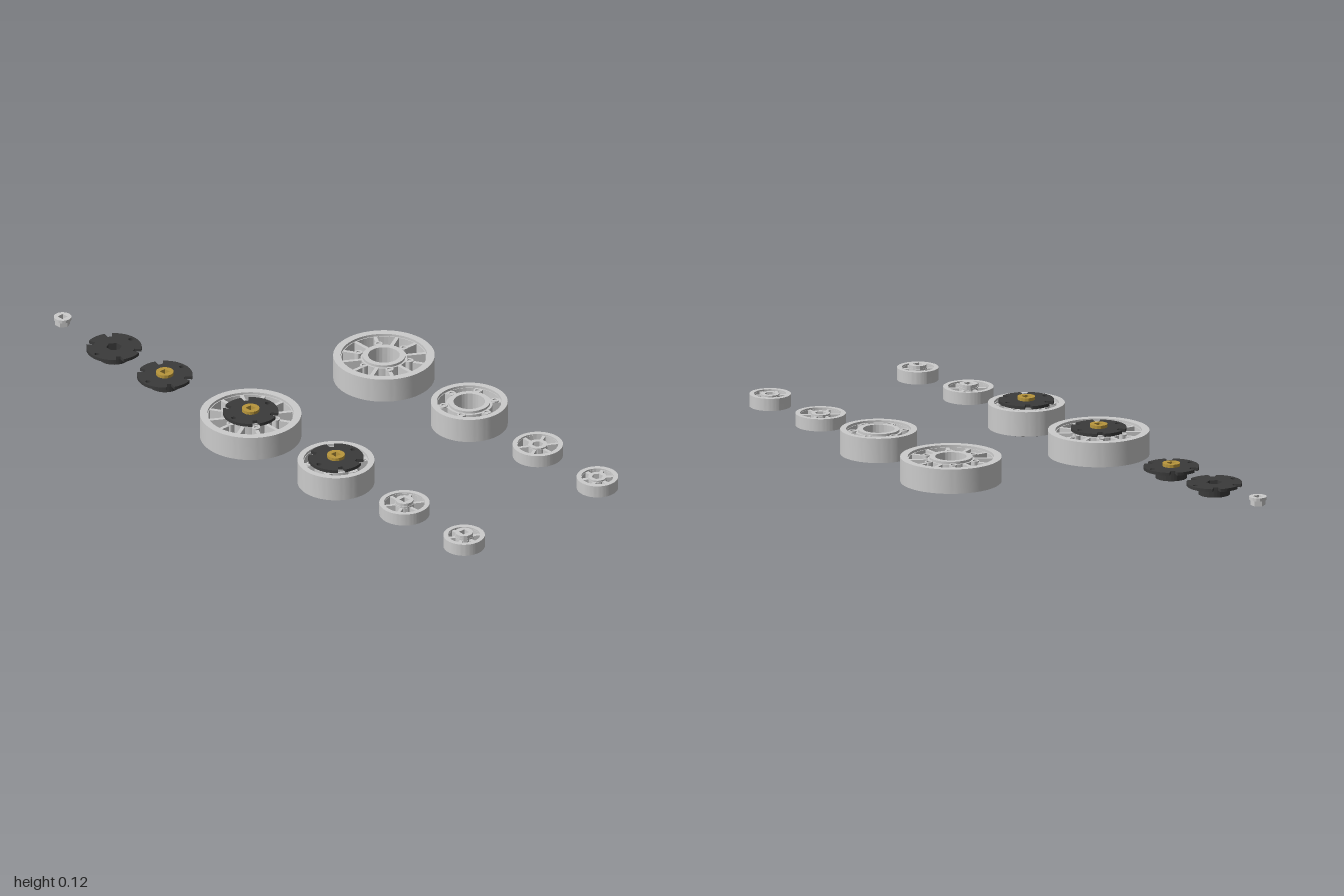
import * as THREE from 'three';
import { toCreasedNormals } from 'three/addons/utils/BufferGeometryUtils.js';

const GREY = new THREE.MeshStandardMaterial({ color: 0xcccccc });
const DARK = new THREE.MeshStandardMaterial({ color: 0x3a3a3a });
const BRASS = new THREE.MeshStandardMaterial({ color: 0xb8963c });
const TAU = Math.PI * 2;

// Extrudes a flat outline upward from y0 to y1
function plate(name, shape, y0, y1, material) {
  const geo = new THREE.ExtrudeGeometry(shape, { depth: y1 - y0, bevelEnabled: false, curveSegments: 48 });
  geo.rotateX(-Math.PI / 2);
  geo.translate(0, y0, 0);
  const mesh = new THREE.Mesh(toCreasedNormals(geo, 0.6), material);
  mesh.name = name;
  return mesh;
}

function circle(r, x = 0, y = 0, Type = THREE.Path) {
  return new Type().absarc(x, y, r, 0, TAU, false);
}

// Regular polygon, used for hexagonal and square bores
function polygon(r, sides, turn = 0, Type = THREE.Path) {
  const pts = [];
  for (let i = 0; i < sides; i++) {
    const a = turn + (i / sides) * TAU;
    pts.push(new THREE.Vector2(r * Math.cos(a), r * Math.sin(a)));
  }
  return new Type(pts);
}

function ring(outer, hole) {
  const shape = circle(outer, 0, 0, THREE.Shape);
  shape.holes.push(hole);
  return shape;
}

// Opening between two parallel-sided spokes
function spokeWindow(middle, count, rIn, rOut, spokeWidth) {
  const a = Math.PI / count - Math.asin(spokeWidth / 2 / rIn);
  const b = Math.PI / count - Math.asin(spokeWidth / 2 / rOut);
  const path = new THREE.Path();
  path.absarc(0, 0, rOut, middle - b, middle + b, false);
  path.absarc(0, 0, rIn, middle + a, middle - a, true);
  path.closePath();
  return path;
}

// Rim, recessed spoke web and hub ring
function wheel(name, o) {
  const g = new THREE.Group();
  g.name = name;
  g.add(plate('rim', ring(o.r, circle(o.rimIn)), o.y0, o.y1, GREY));
  g.add(plate('hubRing', ring(o.hub, o.bore), o.y0, o.y1, GREY));
  const web = ring(o.rimIn + 0.001, circle(o.hub - 0.001));
  for (let i = 0; i < o.spokes; i++) {
    const mid = ((i + 0.5) / o.spokes) * TAU;
    web.holes.push(spokeWindow(mid, o.spokes, o.hub + o.gap, o.rimIn - o.edge, o.width));
  }
  g.add(plate('spokes', web, o.y0 + o.recess, o.y1 - o.recess, GREY));
  // screw bosses on every other or every spoke
  if (o.boss) {
    for (let i = 0; i < 6; i++) {
      const a = (i / 6) * TAU + o.bossTurn;
      const boss = plate('screwBoss', ring(0.013, circle(0.007)), o.y0 + 0.004, o.y1 - 0.004, GREY);
      boss.position.set(o.boss * Math.cos(a), 0, -o.boss * Math.sin(a));
      g.add(boss);
    }
  }
  return g;
}

// Collared shaft insert with a square bore; y = 0 is the underside of the collar
function insert(material) {
  const g = new THREE.Group();
  g.name = 'shaftInsert';
  const square = () => polygon(0.016, 4, Math.PI / 4);
  g.add(plate('collar', ring(0.028, square()), 0, 0.01, material));
  const body = polygon(0.024, 6, 0, THREE.Shape);
  body.holes.push(square());
  g.add(plate('hexBody', body, -0.018, 0, material));
  return g;
}

// Notched flange with a round barrel below; y = 0 is the top of the flange
function hub(withInsert) {
  const g = new THREE.Group();
  g.name = 'hub';
  const notches = [30, 150, 210, 330];
  const pts = [];
  for (let d = 0; d < 360; d += 2) {
    const inNotch = notches.some((n) => Math.abs(d - n) < 8);
    const r = inNotch ? 0.066 : 0.088;
    const a = (d * Math.PI) / 180;
    pts.push(new THREE.Vector2(r * Math.cos(a), r * Math.sin(a)));
  }
  const flange = new THREE.Shape(pts);
  flange.holes.push(polygon(0.025, 6));
  for (const s of [-1, 1]) flange.holes.push(circle(0.008, 0, s * 0.072));
  g.add(plate('flange', flange, -0.01, 0, DARK));
  g.add(plate('barrel', ring(0.05, polygon(0.025, 6)), -0.038, -0.01, DARK));
  if (withInsert) g.add(insert(BRASS));
  return g;
}

// Adds a top part and its mirror image underneath
function addBothSides(group, make, top, bottom) {
  const upper = make();
  upper.position.y = top;
  const lower = make();
  lower.position.y = bottom;
  lower.rotation.x = Math.PI;
  group.add(upper, lower);
}

export function createModel() {
  const model = new THREE.Group();
  model.name = 'wheelSet';
  const Z = 0.284;

  const kinds = [
    { name: 'largeWheel', x: -0.08, fit: 'hub', make: () => ({
      r: 0.161, rimIn: 0.137, hub: 0.068, bore: circle(0.05), y0: 0.02, y1: 0.1,
      spokes: 12, width: 0.012, gap: 0.006, edge: 0.003, recess: 0.008, boss: 0.085, bossTurn: Math.PI / 6 }) },
    { name: 'mediumWheel', x: 0.325, fit: 'hub', make: () => ({
      r: 0.122, rimIn: 0.103, hub: 0.066, bore: circle(0.05), y0: 0.02, y1: 0.1,
      spokes: 6, width: 0.026, gap: 0.008, edge: 0.002, recess: 0.008, boss: 0.083, bossTurn: 0 }) },
    { name: 'smallWheel', x: 0.65, fit: 'insert', make: () => ({
      r: 0.08, rimIn: 0.065, hub: 0.03, bore: polygon(0.018, 6), y0: 0.04, y1: 0.08,
      spokes: 6, width: 0.01, gap: 0.001, edge: 0.001, recess: 0.005 }) },
    { name: 'tinyWheel', x: 0.933, fit: 'insert', make: () => ({
      r: 0.066, rimIn: 0.051, hub: 0.029, bore: polygon(0.018, 6), y0: 0.04, y1: 0.08,
      spokes: 6, width: 0.012, gap: 0.001, edge: 0.001, recess: 0.005 }) },
  ];

  // bare wheels in the back row, fitted ones in the front row
  for (const k of kinds) {
    for (const side of [-1, 1]) {
      const w = wheel(k.name, k.make());
      w.position.set(k.x, 0, side * Z);
      if (side > 0 && k.fit === 'hub') addBothSides(w, () => hub(true), 0.11, 0.01);
      if (side > 0 && k.fit === 'insert') addBothSides(w, () => insert(GREY), 0.08, 0.04);
      model.add(w);
    }
  }

  // loose hubs and insert
  const fitted = hub(true);
  fitted.position.set(-0.487, 0.073, Z);
  const bare = hub(false);
  bare.position.set(-0.728, 0.073, Z);
  const loose = insert(GREY);
  loose.position.set(-0.972, 0.071, Z);
  model.add(fitted, bare, loose);
  return model;
}
